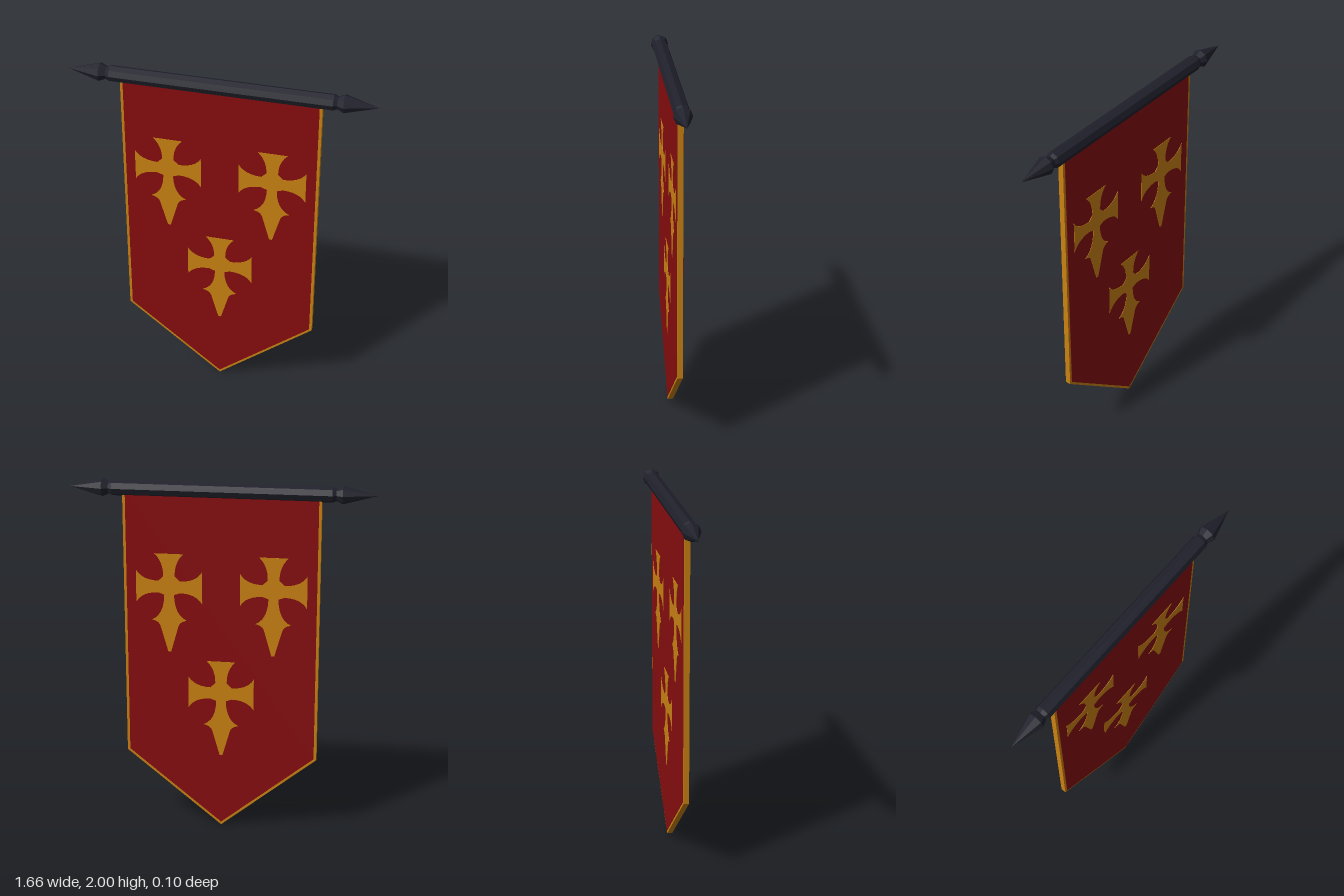
import * as THREE from 'three';

const gold = new THREE.MeshStandardMaterial({ color: 0xcb8312 });
gold.name = 'gold';
const red = new THREE.MeshStandardMaterial({ color: 0x880d0f });
red.name = 'red';
const iron = new THREE.MeshStandardMaterial({ color: 0x20202c, flatShading: true });
iron.name = 'dark iron';

const POLE_Y = 1.95;

function addMesh(parent, name, geometry, material) {
  const mesh = new THREE.Mesh(geometry, material);
  mesh.name = name;
  parent.add(mesh);
  return mesh;
}

function slab(shape, depth, z) {
  const geometry = new THREE.ExtrudeGeometry(shape, { depth, bevelEnabled: false, curveSegments: 6 });
  return geometry.translate(0, 0, z);
}

// Straight-sided cloth ending in a point
function pennant(halfWidth, top, corner, tip) {
  return new THREE.Shape([
    [-halfWidth, top], [-halfWidth, corner], [0, tip], [halfWidth, corner], [halfWidth, top],
  ].map(([x, y]) => new THREE.Vector2(x, y)));
}

// Flared cross with a dagger-shaped foot, centred where its arms meet
function crossShape() {
  const half = new THREE.Path();
  half.moveTo(0, 0.187);
  half.lineTo(0.08, 0.187);
  half.quadraticCurveTo(0.03, 0.14, 0.032, 0.06);
  half.lineTo(0.06, 0.033);
  half.quadraticCurveTo(0.15, 0.033, 0.184, 0.092);
  half.lineTo(0.184, -0.092);
  half.quadraticCurveTo(0.15, -0.033, 0.06, -0.033);
  half.lineTo(0.027, -0.045);
  half.quadraticCurveTo(0.03, -0.16, 0.098, -0.19);
  half.quadraticCurveTo(0.06, -0.195, 0.05, -0.225);
  half.lineTo(0.008, -0.372);
  const right = half.getPoints(6);
  const left = right.slice(1).reverse().map((p) => new THREE.Vector2(-p.x, p.y));
  return new THREE.Shape([...right, ...left]);
}

export function createModel() {
  const model = new THREE.Group();
  model.name = 'hanging banner';

  // Eight-sided pole with a spearhead at each end
  const profile = [
    [0, -0.83], [0.05, -0.65], [0.034, -0.615], [0.043, -0.595],
    [0.043, 0.595], [0.034, 0.615], [0.05, 0.65], [0, 0.83],
  ].map(([r, y]) => new THREE.Vector2(r, y));
  const pole = addMesh(model, 'pole', new THREE.LatheGeometry(profile, 8), iron);
  pole.rotation.z = Math.PI / 2;
  pole.position.y = POLE_Y;

  // Gold cloth core whose rim shows as the border
  addMesh(model, 'goldBorder', slab(pennant(0.54, POLE_Y, 0.435, 0), 0.03, -0.015), gold);

  // Red field and three crosses on both faces
  const field = slab(pennant(0.525, POLE_Y, 0.441, 0.018), 0.002, 0.015);
  const cross = slab(crossShape(), 0.002, 0.017);
  for (const side of ['front', 'back']) {
    const face = new THREE.Group();
    face.name = side + 'Face';
    if (side === 'back') face.rotation.y = Math.PI;
    addMesh(face, 'redField', field, red);
    for (const [x, y] of [[-0.288, 1.41], [0.288, 1.41], [0, 0.805]]) {
      addMesh(face, 'cross', cross, gold).position.set(x, y, 0);
    }
    model.add(face);
  }
  return model;
}
